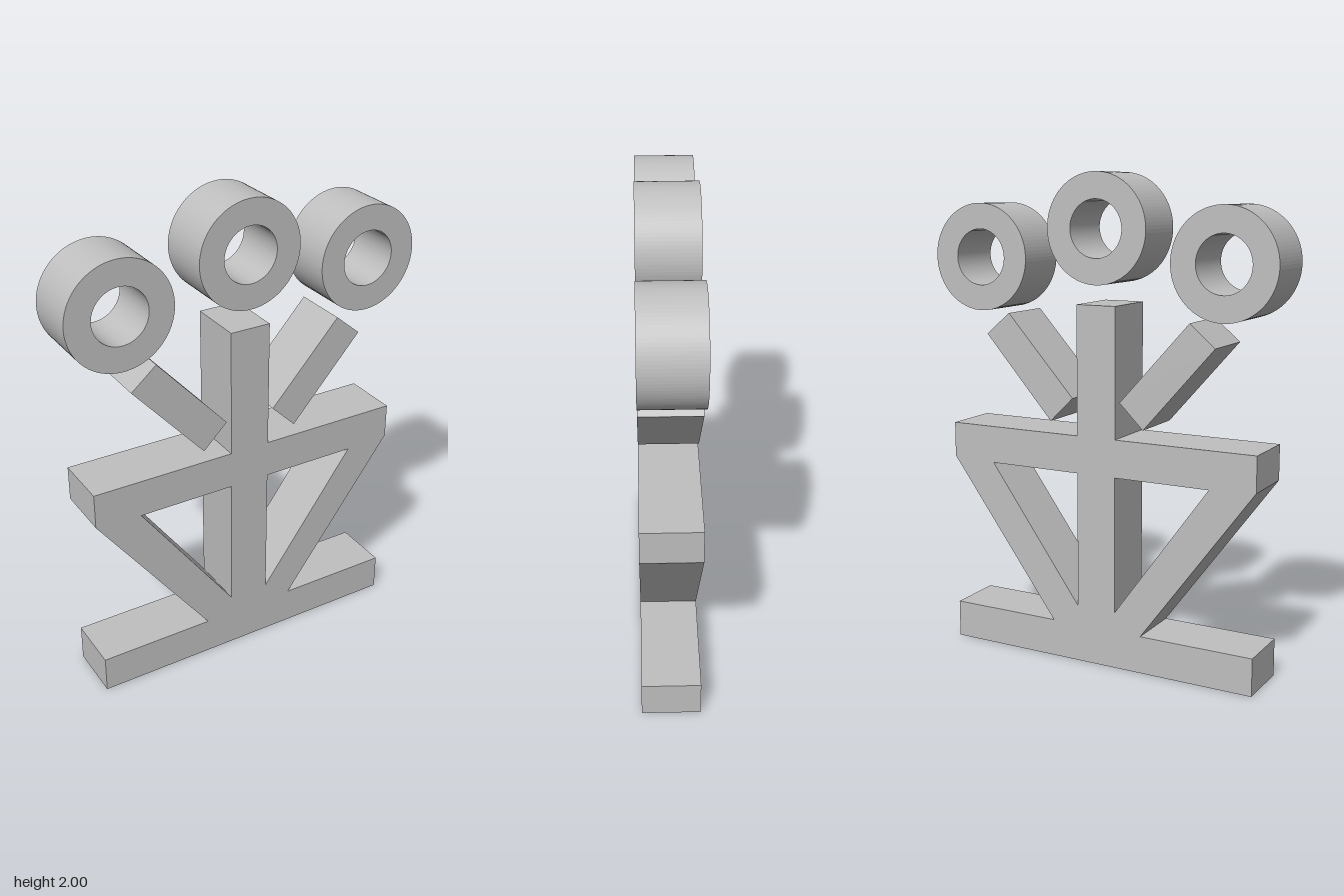
import * as THREE from 'three';

const DEPTH = 0.24;

export function createModel() {
  const group = new THREE.Group();
  const grey = new THREE.MeshStandardMaterial({ color: 0xbfbfbf });
  grey.name = 'plain grey';

  const points = (list) => list.map(([x, y]) => new THREE.Vector2(x, y));
  const mirror = (list) => list.map(([x, y]) => [-x, y]).reverse();

  // Every part is a flat outline extruded to the same depth
  function addPart(name, shape, x = 0, y = 0) {
    const geometry = new THREE.ExtrudeGeometry(shape, {
      depth: DEPTH, bevelEnabled: false, curveSegments: 48,
    });
    geometry.translate(0, 0, -DEPTH / 2);
    const mesh = new THREE.Mesh(geometry, grey);
    mesh.name = name;
    mesh.position.set(x, y, 0);
    group.add(mesh);
  }

  // Frame: base, post, crossbar and diagonal braces in one piece
  const half = [
    [0.688, 0], [0.688, 0.156], [0.203, 0.156], [0.688, 0.812],
    [0.688, 0.957], [0.086, 0.957], [0.086, 1.486],
  ];
  const frame = new THREE.Shape(points([...half, ...mirror(half)]));
  const opening = [[0.086, 0.802], [0.494, 0.802], [0.086, 0.238]];
  frame.holes.push(new THREE.Path(points(opening)), new THREE.Path(points(mirror(opening))));
  addPart('frame', frame);

  // Slanted bars either side of the post
  const bar = [[0.21, 1.007], [0.512, 1.347], [0.405, 1.437], [0.107, 1.108]];
  addPart('leftBar', new THREE.Shape(points(bar)));
  addPart('rightBar', new THREE.Shape(points(mirror(bar))));

  // Three rings above the bars and post
  const ring = new THREE.Shape().absarc(0, 0, 0.218, 0, Math.PI * 2, false);
  ring.holes.push(new THREE.Path().absarc(0, 0, 0.114, 0, Math.PI * 2, true));
  addPart('middleRing', ring, 0, 1.782);
  addPart('leftRing', ring, 0.539, 1.66);
  addPart('rightRing', ring, -0.539, 1.66);

  return group;
}
